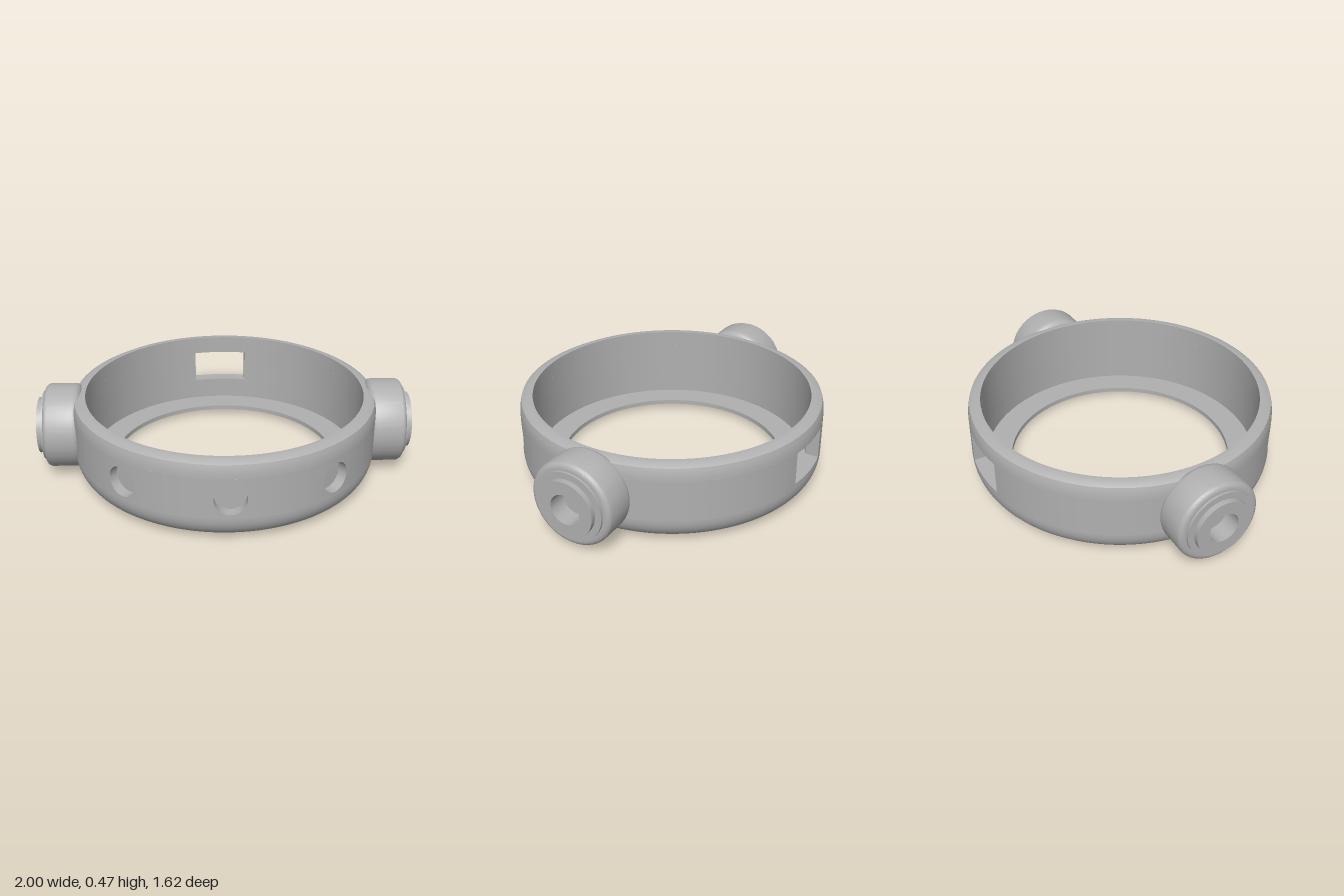
import * as THREE from 'three';
import { toCreasedNormals } from 'three/addons/utils/BufferGeometryUtils.js';

const R_OUT = 0.812, R_IN = 0.742;      // wall radii
const Y0 = 0.14, Y1 = 0.36;             // straight band that holds the openings
const HOLE_ARC = 0.14, WINDOW_ARC = 0.28; // half angles of the patches around openings
const N = 64;                           // points around an opening

const grey = new THREE.MeshStandardMaterial({ color: 0xb0b0b0 });
grey.name = 'satin grey';

function mesh(name, geometry, parent) {
  const m = new THREE.Mesh(toCreasedNormals(geometry, 0.5), grey);
  m.name = name;
  parent.add(m);
  return m;
}

function lathe(points, start = 0, length = Math.PI * 2) {
  const segments = Math.max(8, Math.ceil(length * 22));
  return new THREE.LatheGeometry(points.map(p => new THREE.Vector2(p[0], p[1])), segments, start, length);
}

// points of a quarter-round style arc
function arc(cx, cy, rx, ry, from, to, steps = 8) {
  return Array.from({ length: steps + 1 }, (_, i) => {
    const a = from + (to - from) * i / steps;
    return [cx + rx * Math.cos(a), cy + ry * Math.sin(a)];
  });
}

// skin between closed loops of points
function loft(rows) {
  const g = new THREE.BufferGeometry(), index = [];
  for (let r = 0; r < rows.length - 1; r++) {
    for (let i = 0; i < N; i++) {
      const a = r * N + i, b = r * N + (i + 1) % N;
      index.push(a, a + N, b + N, a, b + N, b);
    }
  }
  g.setAttribute('position', new THREE.Float32BufferAttribute(rows.flat(2), 3));
  g.setIndex(index);
  g.computeVertexNormals();
  return g;
}

const angles = Array.from({ length: N }, (_, i) => i / N * Math.PI * 2);
const circle = (r, cy) => angles.map(a => [r * Math.cos(a), cy + r * Math.sin(a)]);
const rectangle = (w, h, cy) => angles.map(a => {
  const c = Math.cos(a), s = Math.sin(a), m = Math.max(Math.abs(c), Math.abs(s));
  return [w * c / m, cy + h * s / m];
});
// lay a flat outline onto a cylinder of the given radius
const bend = (outline, r) => outline.map(([x, y]) => [x, y, Math.sqrt(r * r - x * x)]);

// loops from an opening out to the edge of its patch of wall
function patchRows(opening, halfArc, r) {
  const edge = rectangle(r * Math.sin(halfArc), (Y1 - Y0) / 2, (Y0 + Y1) / 2);
  return [0, 0.25, 0.5, 0.75, 1].map(t =>
    bend(opening.map((p, i) => [p[0] + (edge[i][0] - p[0]) * t, p[1] + (edge[i][1] - p[1]) * t]), r));
}

export function createModel() {
  const model = new THREE.Group();
  model.name = 'ringHousing';
  const PI = Math.PI;

  // upper shoulder, flat rim and top of the inner wall
  mesh('upperRim', lathe([
    ...arc(R_OUT - 0.1, Y1, 0.1, 0.15, 0, 0.95).filter(p => p[1] < 0.44),
    [0.77, 0.445], [R_IN, 0.445], [R_IN, Y1],
  ]), model);

  // lower inner wall, floor flange, recessed underside and rounded bottom edge
  mesh('lowerRim', lathe([
    [R_IN, Y0], [R_IN, 0.05], [0.602, 0.05], [0.602, 0.025], [0.65, 0.025], [0.66, 0],
    [0.69, 0], [0.69, 0.012],
    ...arc(R_OUT - 0.11, Y0, 0.11, 0.128, -PI / 2, 0, 12),
  ]), model);

  // plain stretches of the wall between the openings
  const side = 0.7;
  [[HOLE_ARC, side - HOLE_ARC], [side + HOLE_ARC, PI - WINDOW_ARC],
    [PI + WINDOW_ARC, 2 * PI - side - HOLE_ARC], [2 * PI - side + HOLE_ARC, 2 * PI - HOLE_ARC],
  ].forEach(([a, b]) => mesh('outerWall', lathe([[R_OUT, Y0], [R_OUT, Y1]], a, b - a), model));
  mesh('innerWall', lathe([[R_IN, Y1], [R_IN, Y0]], PI + WINDOW_ARC, 2 * PI - 2 * WINDOW_ARC), model);

  // three blind round holes at the front
  for (const turn of [-side, 0, side]) {
    const hole = new THREE.Group();
    hole.name = 'frontHole';
    hole.rotation.y = turn;
    const outline = circle(0.081, 0.245), depth = 0.757;
    mesh('holeSurround', loft(patchRows(outline, HOLE_ARC, R_OUT)), hole);
    mesh('holeSide', loft([outline.map(p => [...p, depth]), bend(outline, R_OUT)]), hole);
    mesh('holeFloor', new THREE.CircleGeometry(0.081, N), hole).position.set(0, 0.245, depth);
    model.add(hole);
  }

  // rectangular window through the back wall
  const window = new THREE.Group();
  window.name = 'backWindow';
  window.rotation.y = PI;
  const frame = rectangle(0.15, 0.09, 0.258);
  mesh('windowOuterSurround', loft(patchRows(frame, WINDOW_ARC, R_OUT)), window);
  mesh('windowInnerSurround', loft(patchRows(frame, WINDOW_ARC, R_IN).reverse()), window);
  mesh('windowReveal', loft([bend(frame, R_IN), bend(frame, R_OUT)]), window);
  model.add(window);

  // stepped round bosses with a blind bore on both sides
  const bossProfile = [
    [0, 0.765], [0.185, 0.765],
    ...arc(0.19, 0.805, 0.035, 0.04, -PI / 2, 0, 6),
    ...arc(0.195, 0.93, 0.03, 0.03, 0, PI / 2, 6),
    [0.185, 0.96], [0.185, 0.972], [0.15, 0.972], [0.15, 1],
    [0.081, 1], [0.081, 0.9], [0, 0.9],
  ];
  for (const s of [1, -1]) {
    const boss = mesh(s > 0 ? 'leftBoss' : 'rightBoss', lathe(bossProfile), model);
    boss.rotation.z = -s * PI / 2;
    boss.position.y = 0.245;
  }
  return model;
}
